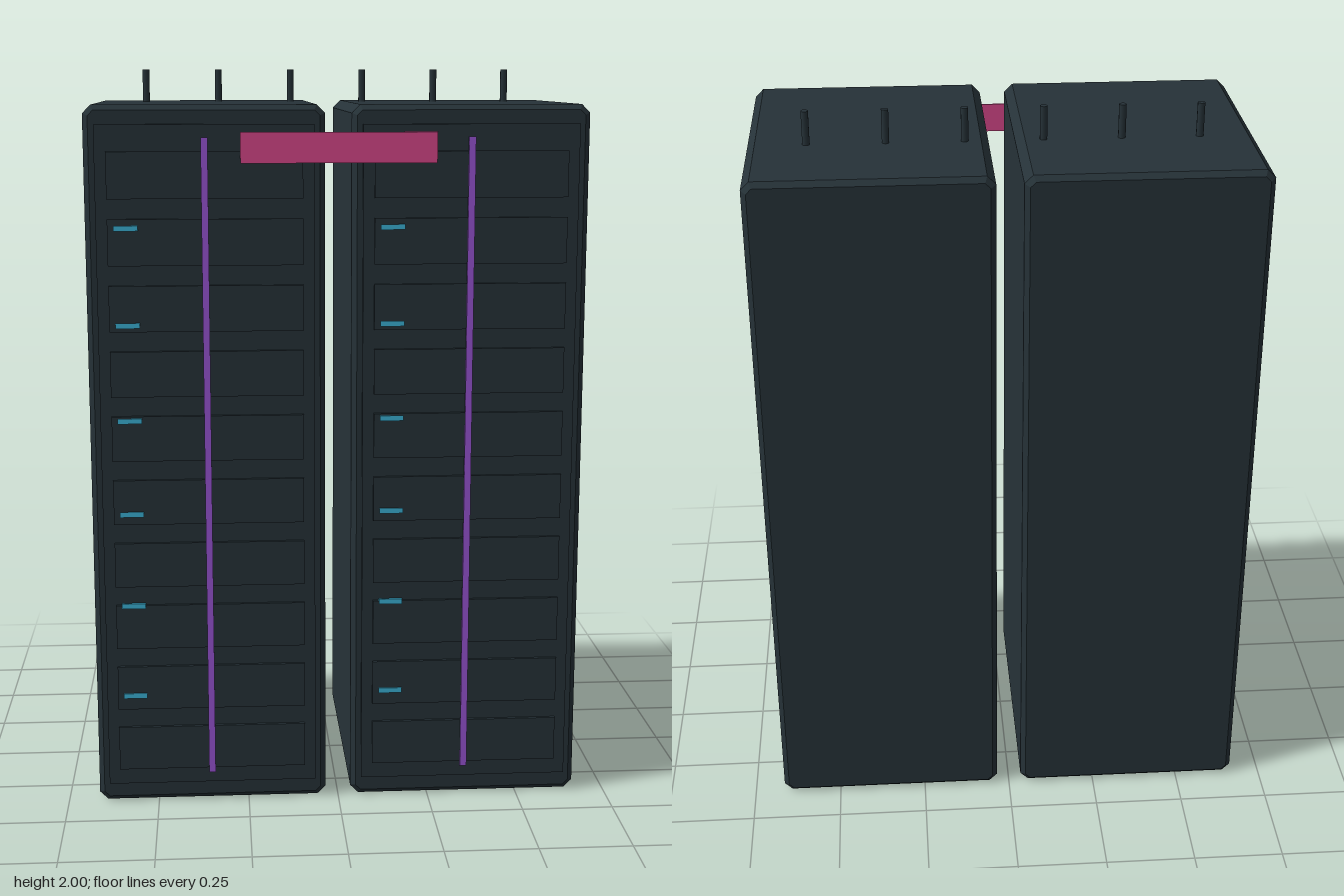
import * as THREE from 'three';

const mat = (name, color) => new THREE.MeshStandardMaterial({ name, color });

// Box with chamfered edges, standing on y = 0 and centred on x and z
function chamferedBox(w, h, d, c) {
  const x = w / 2 - c, y0 = c, y1 = h - c;
  const s = new THREE.Shape();
  s.moveTo(-x + c, y0);
  s.lineTo(x - c, y0);
  s.lineTo(x, y0 + c);
  s.lineTo(x, y1 - c);
  s.lineTo(x - c, y1);
  s.lineTo(-x + c, y1);
  s.lineTo(-x, y1 - c);
  s.lineTo(-x, y0 + c);
  s.closePath();
  const g = new THREE.ExtrudeGeometry(s, {
    depth: d - 2 * c, bevelEnabled: true, bevelSize: c, bevelThickness: c, bevelSegments: 1,
  });
  return g.translate(0, 0, -d / 2 + c);
}

export function createModel() {
  const casing = mat('dark slate', 0x263238);
  const purple = mat('purple', 0x9b55d6);
  const cyan = mat('cyan', 0x3cb4d8);
  const pink = mat('pink', 0xd9478c);

  const model = new THREE.Group();
  model.name = 'serverRacks';

  const add = (parent, name, geometry, material, x, y, z) => {
    const m = new THREE.Mesh(geometry, material);
    m.name = name;
    m.position.set(x, y, z);
    parent.add(m);
  };
  const box = (w, h, d) => new THREE.BoxGeometry(w, h, d);

  const bodyGeo = chamferedBox(0.63, 1.91, 0.756, 0.014);
  const doorGeo = box(0.572, 1.806, 0.03);
  const bayGeo = box(0.512, 0.122, 0.02);
  const lightGeo = box(0.064, 0.014, 0.008);
  const stripGeo = box(0.018, 1.74, 0.006);

  for (const [side, cx] of [['right', -0.35], ['left', 0.35]]) {
    const rack = new THREE.Group();
    rack.name = side + 'Rack';
    rack.position.x = cx;
    model.add(rack);

    add(rack, 'cabinet', bodyGeo, casing, 0, 0, -0.012);
    add(rack, 'door', doorGeo, casing, 0, 0.957, 0.361);

    // Ten raised equipment bays
    for (let i = 0; i < 10; i++) {
      add(rack, 'bay', bayGeo, casing, 0, 0.16 + i * 0.1744, 0.375);
    }
    // Six status lights
    for (let i = 0; i < 6; i++) {
      add(rack, 'statusLight', lightGeo, cyan, -0.208, 0.313 + i * 0.256, 0.385);
    }
    add(rack, 'lightStrip', stripGeo, purple, -0.001, 0.957, 0.388);
  }

  // Banner bridging the two racks
  add(model, 'banner', box(0.515, 0.08, 0.006), pink, 0, 1.8, 0.387);

  // Cable stubs along the top
  const stubGeo = new THREE.CylinderGeometry(0.01, 0.01, 0.12, 10);
  for (let i = 0; i < 6; i++) {
    add(model, 'cableStub', stubGeo, casing, -0.515 + i * 0.205, 1.94, -0.115);
  }
  return model;
}
